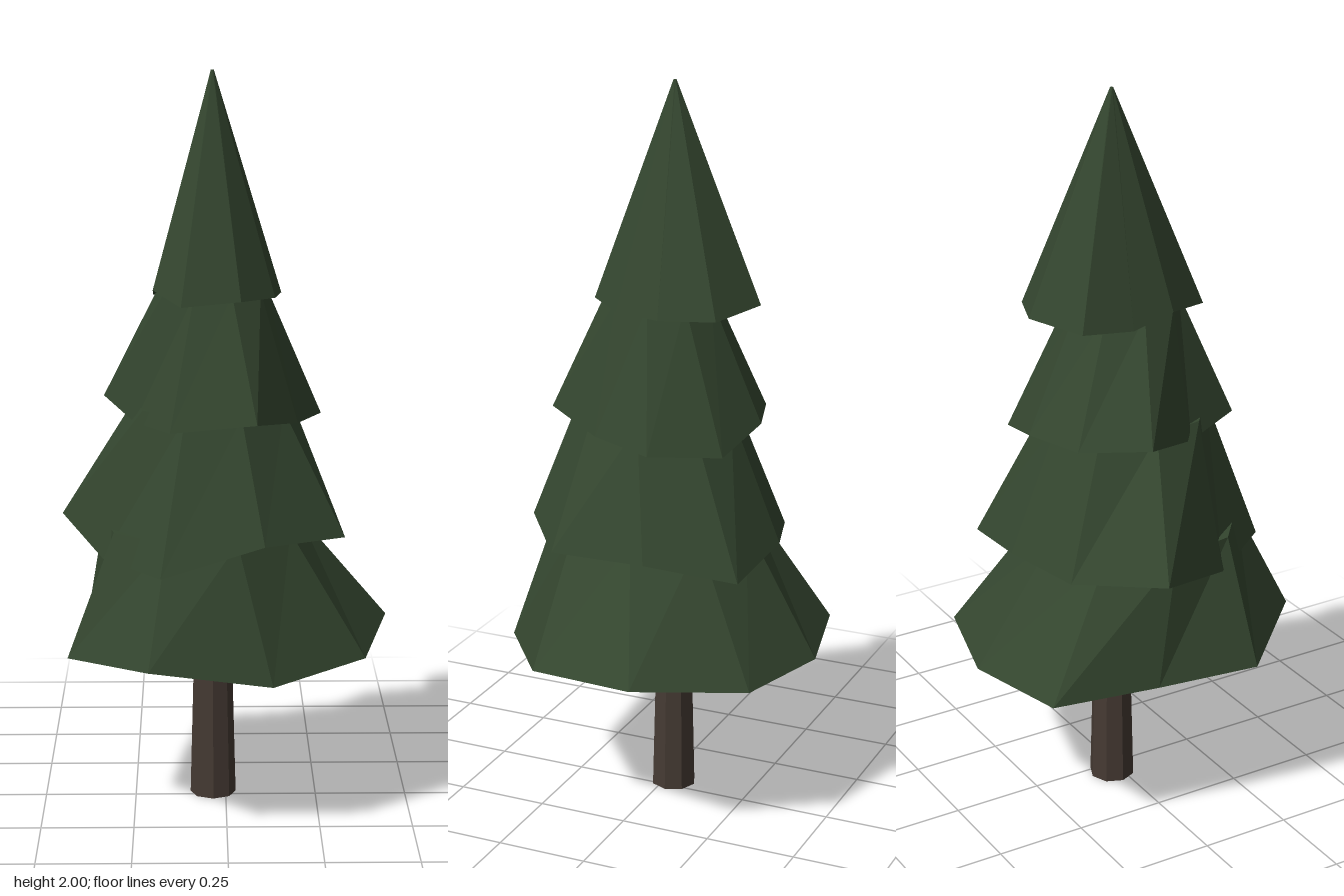
import * as THREE from 'three';

const SIDES = 9;
const CX = -0.035, CZ = -0.025; // trunk axis

const needles = new THREE.MeshStandardMaterial({ color: 0x34462f, flatShading: true });
const bark = new THREE.MeshStandardMaterial({ color: 0x453a33, flatShading: true });

// Each tier: uneven rim (radius and height every 40 degrees, starting at the back,
// turning towards +x) and a smaller, slightly shifted top ring.
const TIERS = [
  { name: 'bottomBranches',
    r: [0.42, 0.449, 0.49, 0.468, 0.449, 0.498, 0.45, 0.358, 0.46],
    y: [0.45, 0.455, 0.49, 0.46, 0.44, 0.495, 0.46, 0.46, 0.455],
    top: { r: 0.27, y: 0.8, x: -0.03, z: 0.07 } },
  { name: 'lowerBranches',
    r: [0.31, 0.376, 0.345, 0.403, 0.387, 0.405, 0.34, 0.42, 0.32],
    y: [0.77, 0.735, 0.785, 0.785, 0.8, 0.72, 0.72, 0.785, 0.75],
    top: { r: 0.215, y: 1.12, x: 0, z: 0.05 } },
  { name: 'upperBranches',
    r: [0.252, 0.284, 0.3, 0.26, 0.33, 0.33, 0.24, 0.3, 0.26],
    y: [1.1, 1.055, 1.07, 1.08, 1.11, 1.09, 1.08, 1.12, 1.1],
    top: { r: 0.145, y: 1.43, x: 0, z: 0.04 } },
  { name: 'crownBranches',
    r: [0.247, 0.24, 0.188, 0.19, 0.213, 0.245, 0.183, 0.162, 0.222],
    y: [1.425, 1.41, 1.405, 1.41, 1.415, 1.405, 1.43, 1.4, 1.41],
    top: { r: 0.004, y: 2, x: 0, z: 0 } },
];

function ringPoint(i, r, y, x = 0, z = 0) {
  const a = (i / SIDES) * Math.PI * 2;
  return [CX + x + Math.sin(a) * r, y, CZ + z - Math.cos(a) * r];
}

function tierGeometry({ r, y, top }) {
  const pos = [];
  const meanY = y.reduce((a, b) => a + b) / SIDES;
  const under = [CX, meanY, CZ];
  const cap = [CX + top.x, top.y, CZ + top.z];
  for (let i = 0; i < SIDES; i++) {
    const j = (i + 1) % SIDES;
    const b0 = ringPoint(i, r[i], y[i]), b1 = ringPoint(j, r[j], y[j]);
    const t0 = ringPoint(i, top.r, top.y, top.x, top.z);
    const t1 = ringPoint(j, top.r, top.y, top.x, top.z);
    pos.push(...b1, ...b0, ...t0, ...b1, ...t0, ...t1); // sloping side
    pos.push(...under, ...b0, ...b1);                   // underside
    pos.push(...cap, ...t1, ...t0);                     // top
  }
  const g = new THREE.BufferGeometry();
  g.setAttribute('position', new THREE.Float32BufferAttribute(pos, 3));
  g.computeVertexNormals();
  return g;
}

export function createModel() {
  const tree = new THREE.Group();
  tree.name = 'pineTree';

  // Tapered trunk reaching into the lowest tier
  const trunk = new THREE.Mesh(new THREE.CylinderGeometry(0.048, 0.063, 0.58, 8), bark);
  trunk.name = 'trunk';
  trunk.position.set(CX, 0.29, CZ);
  tree.add(trunk);

  // Stacked branch tiers
  for (const tier of TIERS) {
    const mesh = new THREE.Mesh(tierGeometry(tier), needles);
    mesh.name = tier.name;
    tree.add(mesh);
  }
  return tree;
}
